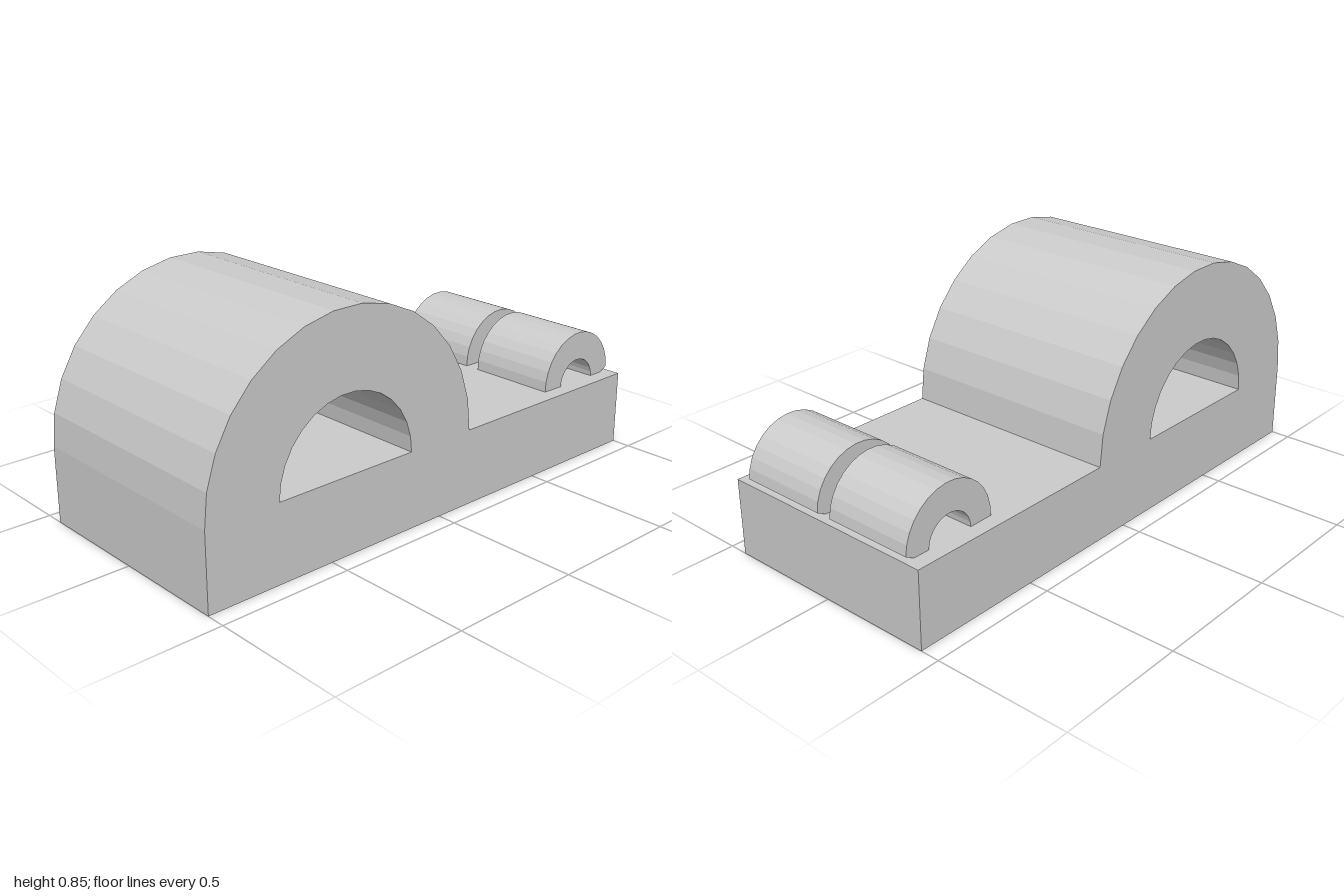
import * as THREE from 'three';

const material = new THREE.MeshStandardMaterial({ color: 0xcccccc, flatShading: true });
const SEGMENTS = 15;
const BASE_TOP = 0.286;

// Points on a faceted arc, angles in degrees
function arc(cx, cy, rx, ry, from, to) {
  return Array.from({ length: SEGMENTS + 1 }, (_, i) => {
    const a = THREE.MathUtils.degToRad(from + ((to - from) * i) / SEGMENTS);
    return new THREE.Vector2(cx + rx * Math.cos(a), cy + ry * Math.sin(a));
  });
}

// Profile in the xy plane, extruded along z and centred on z
function extrude(name, shape, depth, z) {
  const geometry = new THREE.ExtrudeGeometry(shape, { depth, bevelEnabled: false });
  geometry.translate(0, 0, -depth / 2);
  const mesh = new THREE.Mesh(geometry, material);
  mesh.name = name;
  mesh.position.z = z;
  return mesh;
}

export function createModel() {
  const group = new THREE.Group();
  group.name = 'archedBlock';

  // Base slab with the large arch rising from its left end
  const body = new THREE.Shape([
    new THREE.Vector2(-1, 0),
    new THREE.Vector2(1, 0),
    new THREE.Vector2(1, BASE_TOP),
    ...arc(-0.429, BASE_TOP, 0.571, 0.571, 0, 180),
  ]);
  body.holes.push(new THREE.Path(arc(-0.429, BASE_TOP, 0.286, 0.286, 180, 0)));
  group.add(extrude('baseWithLargeArch', body, 0.857, 0));

  // Pair of small arches, each with an undercut outer foot
  const small = new THREE.Shape([
    new THREE.Vector2(0.96, BASE_TOP),
    ...arc(0.809, 0.297, 0.185, 0.185, 2, 183),
    ...arc(0.807, BASE_TOP, 0.091, 0.088, 180, 0),
  ]);
  for (const [name, z] of [['frontSmallArch', 0.2], ['backSmallArch', -0.2]]) {
    group.add(extrude(name, small, 0.342, z));
  }

  return group;
}
